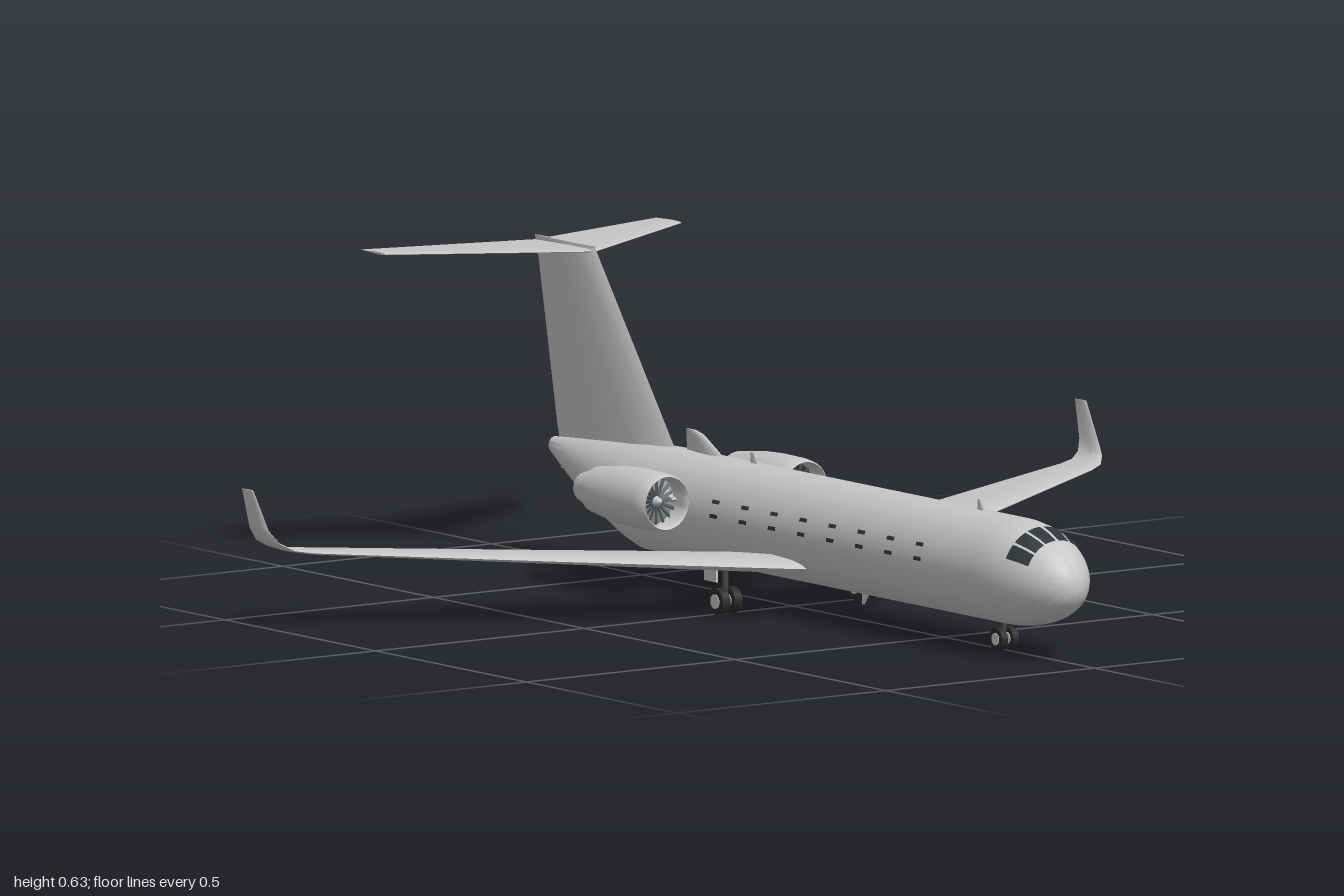
import * as THREE from 'three';
import { toCreasedNormals } from 'three/addons/utils/BufferGeometryUtils.js';

const flat = (name, color) => Object.assign(new THREE.MeshStandardMaterial({ color }), { name });

// Skin over a list of closed rings, capped at both ends
function loft(rings, crease = 0.7) {
  const n = rings[0].length, idx = [], last = (rings.length - 1) * n;
  for (let j = 0; j < rings.length - 1; j++) {
    for (let i = 0; i < n; i++) {
      const a = j * n + i, b = j * n + (i + 1) % n;
      idx.push(a, b, a + n, b, b + n, a + n);
    }
  }
  for (let i = 1; i < n - 1; i++) idx.push(0, i + 1, i, last, last + i, last + i + 1);
  const g = new THREE.BufferGeometry();
  g.setAttribute('position', new THREE.Float32BufferAttribute(rings.flat(2), 3));
  g.setIndex(idx);
  g.computeVertexNormals();
  return toCreasedNormals(g, crease);
}

// Mirror across x = 0, keeping faces outward
function mirrored(g) {
  const m = g.clone().scale(-1, 1, 1);
  const old = m.index ? Array.from(m.index.array) : Array.from({ length: m.attributes.position.count }, (_, i) => i);
  for (let i = 0; i < old.length; i += 3) [old[i + 1], old[i + 2]] = [old[i + 2], old[i + 1]];
  m.setIndex(old);
  return m;
}

// Airfoil outline: trailing edge, over the top, leading edge, back underneath
const FOIL = [[1, 0], [0.7, 0.5], [0.35, 1], [0.12, 0.8], [0.03, 0.42], [0, 0],
  [0.03, -0.4], [0.12, -0.7], [0.35, -0.8], [0.7, -0.4]];
// Section spanning sideways: x, y, leading z, trailing z, half thickness, tilt
const wingRing = ([x, y, zl, zt, t, tilt = 0]) => FOIL.map(([u, v]) =>
  [x - Math.sin(tilt) * v * t, y + Math.cos(tilt) * v * t, zl + (zt - zl) * u]);
// Section spanning upward: y, leading z, trailing z, half thickness
const FIN = [[0, 0], [0.05, 0.5], [0.3, 1], [0.65, 0.7], [1, 0.1], [1, -0.1], [0.65, -0.7], [0.3, -1], [0.05, -0.5]];
const finRing = ([y, zl, zt, t]) => FIN.map(([u, v]) => [v * t, y, zl + (zt - zl) * u]);

// Point on the fuselage skin; angle runs from the top toward +x
function hullPoint(z, angle, off = 0) {
  let w = 0.102, top = 0.265, bottom = 0.055;
  if (z > 0.74) {
    const s = Math.sqrt(Math.max(0, 1 - ((z - 0.74) / 0.2) ** 2));
    w *= s;
    top = 0.146 + 0.119 * s;
    bottom = 0.146 - 0.091 * s;
  } else if (z < -0.38) {
    const t = (-0.38 - z) / 0.41;
    w -= 0.087 * t ** 1.5;
    top -= 0.028 * t ** 1.5;
    bottom += 0.15 * Math.max(0, (-0.45 - z) / 0.34) ** 1.2;
  }
  return [(w + off) * Math.sin(angle), (top + bottom) / 2 + ((top - bottom) / 2 + off) * Math.cos(angle), z];
}

// Thin pane that follows the fuselage skin
function pane(a0, a1, zFront, zBack) {
  const g = new THREE.PlaneGeometry(1, 1, 5, 5), p = g.attributes.position;
  for (let i = 0; i < p.count; i++) {
    const u = p.getX(i) + 0.5, v = p.getY(i) + 0.5;
    p.setXYZ(i, ...hullPoint(zFront + (zBack - zFront) * v, a0 + (a1 - a0) * u, 0.0025));
  }
  g.computeVertexNormals();
  return g;
}

export function createModel() {
  const model = new THREE.Group();
  model.name = 'jetAirplane';
  const body = flat('light grey body', 0xc6c6c6);
  const glass = flat('dark glass', 0x2f363a);
  const rubber = flat('tyre black', 0x2b2b2b);
  const metal = flat('dark metal', 0x454545);
  const fanGrey = flat('fan blue grey', 0x4b565c);

  const add = (name, g, mat) => {
    const m = new THREE.Mesh(g, mat);
    m.name = name;
    model.add(m);
  };
  const pair = (name, g, mat) => {
    add(name + 'Left', g, mat);
    add(name + 'Right', mirrored(g), mat);
  };

  // Fuselage with rounded nose and upswept tail
  const stations = [];
  for (let i = 0; i <= 12; i++) stations.push(0.74 + 0.2 * Math.cos(i / 12 * Math.PI / 2) * 0.9999);
  stations.push(0.4, 0, -0.38);
  for (let i = 1; i <= 12; i++) stations.push(-0.38 - 0.41 * i / 12);
  add('fuselage', loft(stations.map(z => Array.from({ length: 40 }, (_, i) => hullPoint(z, i / 40 * Math.PI * 2)))), body);
  add('tailLight', new THREE.SphereGeometry(0.013, 12, 8).translate(0, 0.221, -0.785), metal);

  // Cockpit panes and cabin windows
  for (const [a0, a1] of [[0.04, 0.36], [0.42, 0.74], [0.8, 1.12]]) pair('cockpitWindow', pane(a0, a1, 0.876, 0.824), glass);
  for (let i = 0; i < 8; i++) {
    const z = 0.555 - i * 0.0965;
    for (const a of [1.21, 1.475]) pair('cabinWindow', pane(a - 0.036, a + 0.036, z + 0.012, z - 0.012), glass);
  }

  // Swept wings curving up into winglets
  pair('wing', loft([
    [0.03, 0.097, 0.18, -0.115, 0.019, 0.05],
    [0.1, 0.1, 0.155, -0.13, 0.017, 0.06],
    [0.5, 0.123, -0.06, -0.262, 0.01, 0.06],
    [0.93, 0.149, -0.295, -0.4, 0.005, 0.1],
    [0.965, 0.154, -0.315, -0.41, 0.004, 0.35],
    [0.985, 0.167, -0.338, -0.418, 0.0035, 0.9],
    [0.994, 0.19, -0.362, -0.426, 0.003, 1.4],
    [0.998, 0.265, -0.408, -0.446, 0.002, 1.52],
  ].map(wingRing)), body);

  // Tall fin with a swept tailplane on top
  add('tailFin', loft([[0.215, -0.36, -0.765, 0.02], [0.26, -0.39, -0.778, 0.018],
    [0.622, -0.655, -0.85, 0.008]].map(finRing)), body);
  pair('tailplane', loft([[0, 0.616, -0.655, -0.855, 0.005],
    [0.355, 0.616, -0.86, -0.945, 0.0025]].map(wingRing)), body);
  add('tailplaneFairing', loft([[0.608, -0.66, -0.85, 0.009], [0.626, -0.655, -0.855, 0.006]].map(finRing)), body);

  // Engines: profiles are radius and distance behind the intake lip
  const turned = (pts, seg = 32) => toCreasedNormals(
    new THREE.LatheGeometry(pts.map(p => new THREE.Vector2(...p)), seg).rotateX(-Math.PI / 2), 0.7)
    .translate(0.166, 0.193, -0.187);
  pair('engineNacelle', turned([[0.047, 0.045], [0.047, 0.015], [0.05, 0.002], [0.052, 0], [0.055, 0.004],
    [0.058, 0.03], [0.0585, 0.09], [0.056, 0.15], [0.046, 0.225], [0.034, 0.226]]), body);
  pair('engineIntake', turned([[0.0005, 0.042], [0.0475, 0.042], [0.0475, 0.012]].reverse()), metal);
  pair('engineNozzle', turned([[0.037, 0.22], [0.035, 0.25], [0.029, 0.272], [0.02, 0.272]]), body);
  pair('exhaustCone', turned([[0.022, 0.262], [0.019, 0.278], [0.0005, 0.3]], 20), metal);
  pair('fanSpinner', turned([[0.0005, 0.018], [0.007, 0.026], [0.011, 0.041]], 20), body);
  for (let i = 0; i < 16; i++) {
    const blade = new THREE.BoxGeometry(0.007, 0.036, 0.002).rotateY(0.5).translate(0, 0.028, 0)
      .rotateZ(i / 16 * Math.PI * 2).translate(0.166, 0.193, -0.224);
    pair('fanBlade', blade, fanGrey);
  }
  pair('enginePylon', loft([[0.07, 0.193, -0.22, -0.43, 0.01], [0.13, 0.193, -0.22, -0.43, 0.01]].map(wingRing)), body);

  // Landing gear
  const wheel = (x, y, z, r, w) => {
    const disc = (rad, wid) => new THREE.CylinderGeometry(rad, rad, wid, 24).rotateZ(Math.PI / 2).translate(x, y, z);
    pair('tyre', disc(r, w), rubber);
    pair('wheelHub', disc(r * 0.55, w + 0.003), body);
  };
  wheel(0.152, 0.026, 0.005, 0.026, 0.018);
  wheel(0.181, 0.026, 0.005, 0.026, 0.018);
  wheel(0.0135, 0.022, 0.7, 0.022, 0.014);
  pair('mainStrut', new THREE.CylinderGeometry(0.006, 0.006, 0.08, 12).translate(0.166, 0.062, 0.005), metal);
  pair('mainAxle', new THREE.CylinderGeometry(0.004, 0.004, 0.03, 10).rotateZ(Math.PI / 2).translate(0.166, 0.026, 0.005), metal);
  pair('gearDoor', new THREE.BoxGeometry(0.004, 0.034, 0.04).translate(0.2, 0.084, 0.005), body);
  add('noseStrut', new THREE.CylinderGeometry(0.005, 0.005, 0.05, 12).translate(0, 0.045, 0.7), metal);
  add('noseAxle', new THREE.CylinderGeometry(0.004, 0.004, 0.024, 10).rotateZ(Math.PI / 2).translate(0, 0.022, 0.7), metal);

  // Blade antennas, dorsal scoop and tail skid
  const blade = (name, rows) => add(name, loft(rows.map(finRing)), body);
  blade('frontAntenna', [[0.258, 0.642, 0.612, 0.004], [0.285, 0.624, 0.612, 0.002]]);
  blade('rearAntenna', [[0.258, -0.11, -0.14, 0.004], [0.285, -0.128, -0.14, 0.002]]);
  blade('bellyAntenna', [[0.032, 0.237, 0.229, 0.002], [0.06, 0.258, 0.23, 0.004]]);
  blade('dorsalScoop', [[0.255, -0.215, -0.35, 0.009], [0.3, -0.295, -0.352, 0.005], [0.306, -0.32, -0.354, 0.003]]);
  blade('tailSkid', [[0.178, -0.752, -0.768, 0.003], [0.215, -0.735, -0.77, 0.005]]);

  return model;
}
